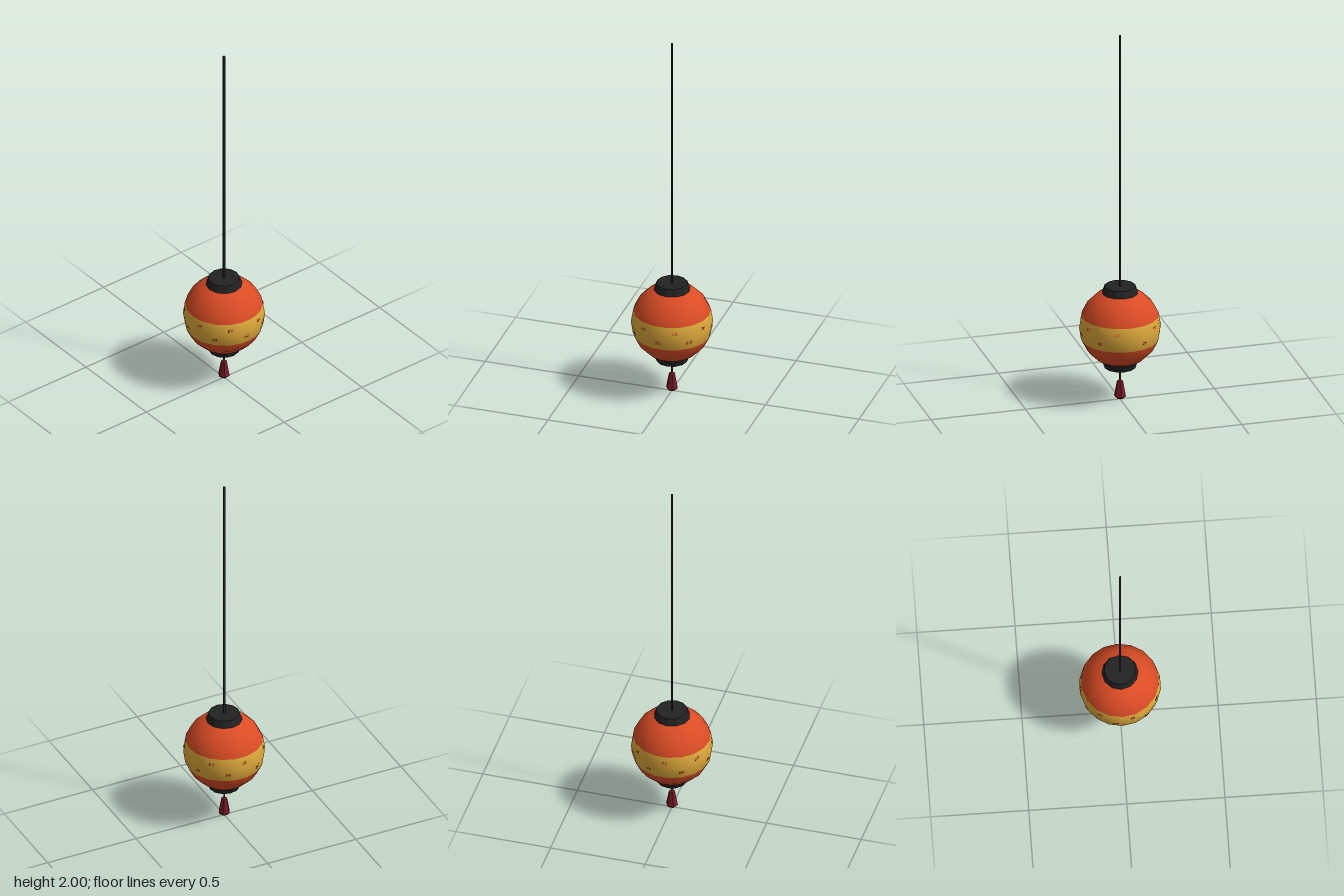
import * as THREE from 'three';

const mat = (name, color, extra = {}) => {
  const m = new THREE.MeshStandardMaterial({ color, ...extra });
  m.name = name;
  return m;
};

export function createModel() {
  const model = new THREE.Group();
  model.name = 'hangingLantern';

  const red = mat('lantern red', 0xdb4c25);
  const gold = mat('gold', 0xdea93b);
  const black = mat('black lacquer', 0x222222, { flatShading: true });
  const maroon = mat('maroon thread', 0x7a1a2a, { flatShading: true });
  const fleckRed = mat('fleck red', 0xd8381e);

  const add = (name, geometry, material, y = 0, parent = model) => {
    const mesh = new THREE.Mesh(geometry, material);
    mesh.name = name;
    mesh.position.y = y;
    parent.add(mesh);
    return mesh;
  };

  // Paper globe: ten rings, the middle two form the gold band
  const R = 0.209, CY = 0.4, ring = Math.PI / 10, sides = 18;
  const zone = (from, count) =>
    new THREE.SphereGeometry(R, sides, count, 0, Math.PI * 2, from * ring, count * ring);
  add('globeTop', zone(0, 4), red, CY);
  add('goldBand', zone(4, 2), gold, CY);
  add('globeBottom', zone(6, 4), red, CY);

  // Small red flecks lying on the band's facets, in two staggered rows
  const apothemMid = R * Math.cos(Math.PI / sides);
  const apothemEdge = apothemMid * Math.cos(ring);
  const bandHalf = R * Math.sin(ring);
  const tilt = Math.atan((apothemMid - apothemEdge) / bandHalf);
  const strokes = [[-0.007, 0.004, 0.010, 0.004], [0.008, 0.005, 0.009, 0.004],
    [-0.010, -0.005, 0.008, 0.005], [0.005, -0.004, 0.012, 0.004]];
  const rows = [
    [0.03, [-28, 22, 70, 135, 185, 235, 285]],
    [-0.028, [-51, -3, 44, 113, 160, 210, 260]],
  ];
  for (const [dy, angles] of rows) {
    for (const a of angles) {
      const facet = Math.round(a / 20) * 20;
      const apothem = THREE.MathUtils.lerp(apothemMid, apothemEdge, Math.abs(dy) / bandHalf);
      const pivot = new THREE.Group();
      pivot.name = 'bandFleck';
      pivot.rotation.y = THREE.MathUtils.degToRad(facet);
      const plate = new THREE.Group();
      plate.position.set(apothem * Math.tan(THREE.MathUtils.degToRad(a - facet)), CY + dy, apothem);
      plate.rotation.x = -Math.sign(dy) * tilt;
      for (const [x, y, w, h] of strokes) {
        add('fleck', new THREE.BoxGeometry(w, h, 0.002), fleckRed, y, plate).position.x = x;
      }
      pivot.add(plate);
      model.add(pivot);
    }
  }

  // End caps, wide edge against the globe
  add('topCap', new THREE.CylinderGeometry(0.08, 0.093, 0.037, 12), black, 0.604);
  add('bottomCap', new THREE.CylinderGeometry(0.093, 0.08, 0.037, 12), black, 0.196);

  // Hanging cord
  add('cord', new THREE.BoxGeometry(0.01, 1.39, 0.01), black, 1.305);

  // Tassel with its thread
  add('tasselThread', new THREE.CylinderGeometry(0.004, 0.004, 0.09, 6), maroon, 0.14);
  const profile = [[0, 0], [0.018, 0.005], [0.031, 0.018], [0.016, 0.1], [0, 0.106]]
    .map(([x, y]) => new THREE.Vector2(x, y));
  add('tassel', new THREE.LatheGeometry(profile, 6, Math.PI / 6), maroon);

  return model;
}
